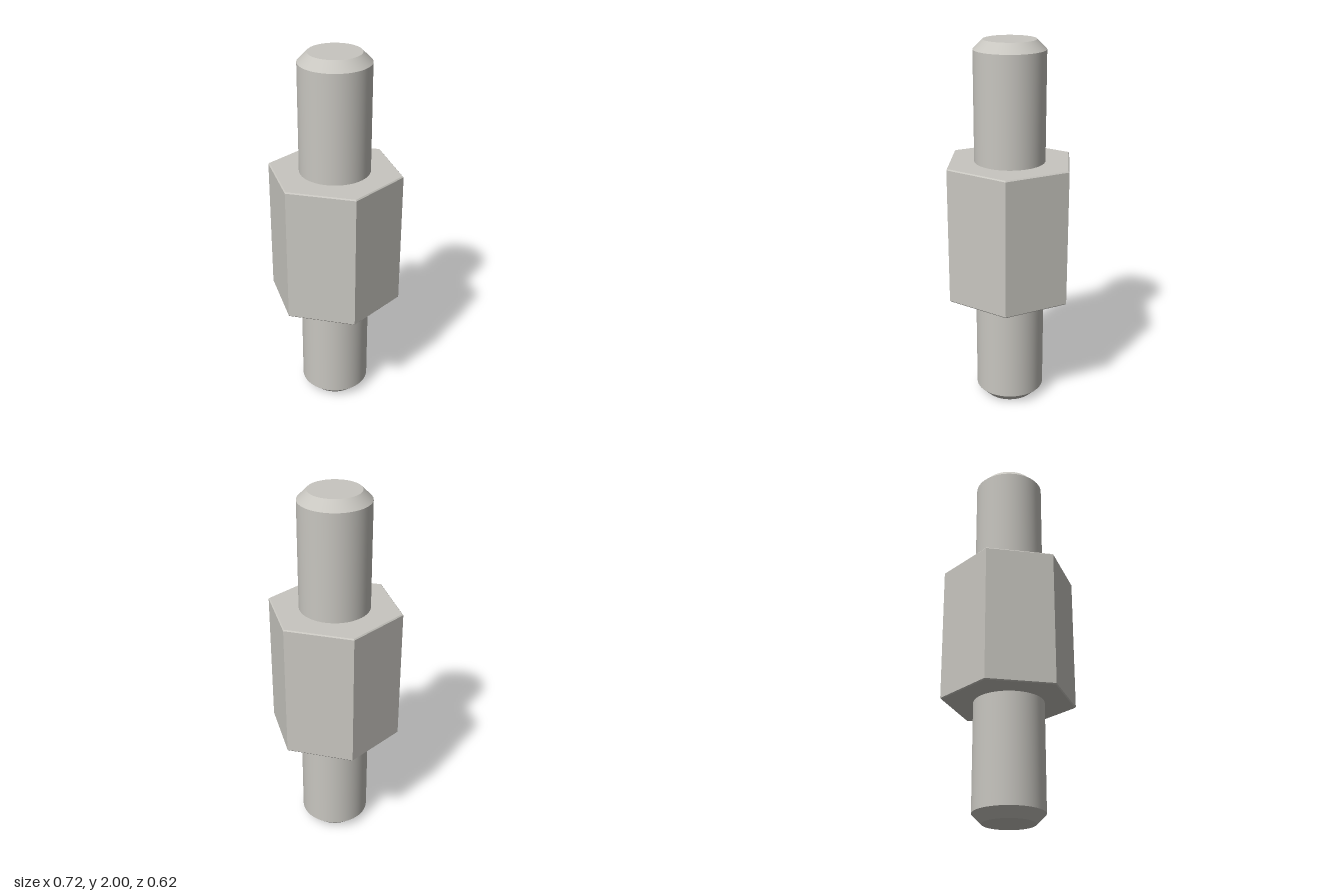
import * as THREE from 'three';

export function createModel() {
  const group = new THREE.Group();
  group.name = 'hexStandoff';
  const steel = new THREE.MeshStandardMaterial({ name: 'satin steel', color: 0xc8c6c0 });

  const HEX_R = 0.36, HEX_HALF = 0.372, HEX_BEVEL = 0.006;
  const STUD_R = 0.187, TIP_R = 0.137, TIP_BEVEL = 0.05;

  function add(parent, name, geometry, y = 0) {
    const mesh = new THREE.Mesh(geometry, steel);
    mesh.name = name;
    mesh.position.y = y;
    parent.add(mesh);
  }

  // Hexagonal body with a fine bevel at both ends, corners on the x axis
  const profile = [
    [0, -HEX_HALF], [HEX_R - HEX_BEVEL, -HEX_HALF], [HEX_R, -HEX_HALF + HEX_BEVEL],
    [HEX_R, HEX_HALF - HEX_BEVEL], [HEX_R - HEX_BEVEL, HEX_HALF], [0, HEX_HALF],
  ].map(([r, y]) => new THREE.Vector2(r, y));
  const hex = new THREE.LatheGeometry(profile, 6, Math.PI / 6).toNonIndexed();
  hex.computeVertexNormals();
  add(group, 'hexBody', hex, 1);

  // Round stud with a chamfered tip, one on each end of the body
  function makeStud(name) {
    const stud = new THREE.Group();
    stud.name = name;
    const shaftLength = 1 - HEX_HALF - TIP_BEVEL;
    add(stud, 'shaft', new THREE.CylinderGeometry(STUD_R, STUD_R, shaftLength, 64, 1, true),
      HEX_HALF + shaftLength / 2);
    add(stud, 'tipChamfer', new THREE.CylinderGeometry(TIP_R, STUD_R, TIP_BEVEL, 64, 1, true),
      1 - TIP_BEVEL / 2);
    add(stud, 'tipFace', new THREE.CircleGeometry(TIP_R, 64).rotateX(-Math.PI / 2), 1);
    stud.position.y = 1;
    group.add(stud);
    return stud;
  }
  makeStud('upperStud');
  makeStud('lowerStud').rotation.x = Math.PI;

  return group;
}
